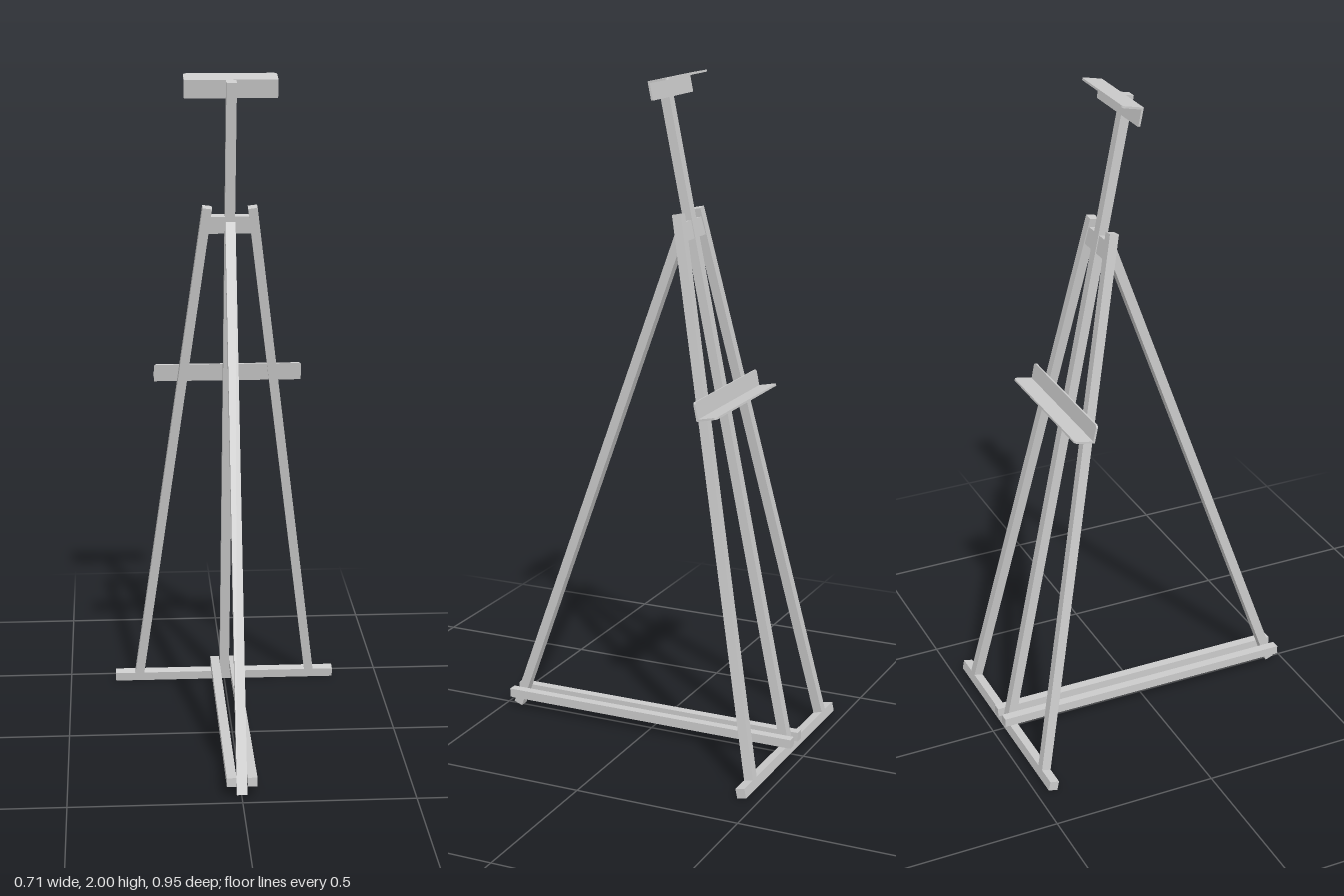
import * as THREE from 'three';

const material = new THREE.MeshStandardMaterial({ color: 0xcccccc });

function add(parent, name, geometry, x = 0, y = 0, z = 0) {
  const mesh = new THREE.Mesh(geometry, material);
  mesh.name = name;
  mesh.position.set(x, y, z);
  parent.add(mesh);
  return mesh;
}

// Square batten running between two points
function batten(parent, name, from, to, width, depth) {
  const a = new THREE.Vector3(...from);
  const b = new THREE.Vector3(...to);
  const dir = b.clone().sub(a);
  const mid = a.clone().add(b).multiplyScalar(0.5);
  const mesh = add(parent, name, new THREE.BoxGeometry(width, dir.length(), depth), mid.x, mid.y, mid.z);
  mesh.quaternion.setFromUnitVectors(new THREE.Vector3(0, 1, 0), dir.normalize());
  return mesh;
}

// Thin plate with its two outer corners rounded; base edge lies on y = 0
function plate(width, height, thickness, r = 0.01) {
  const w = width / 2;
  const s = new THREE.Shape();
  s.moveTo(-w, 0);
  s.lineTo(w, 0);
  s.lineTo(w, height - r);
  s.absarc(w - r, height - r, r, 0, Math.PI / 2);
  s.lineTo(-w + r, height);
  s.absarc(-w + r, height - r, r, Math.PI / 2, Math.PI);
  s.closePath();
  return new THREE.ExtrudeGeometry(s, { depth: thickness, bevelEnabled: false, curveSegments: 5 });
}

// Angle bracket: a flange lying on the mast and a ledge sticking out behind
function bracket(parent, name, width, y, flangeUp) {
  const t = 0.006;
  const group = new THREE.Group();
  group.name = name;
  group.position.set(0, y, -0.014);
  const flange = add(group, name + 'Flange', plate(width, 0.055, t, flangeUp ? 0.008 : 0.003));
  if (flangeUp) flange.position.z = -t;
  else flange.rotation.x = Math.PI;
  const ledge = add(group, name + 'Ledge', plate(width, 0.064, t));
  ledge.rotation.x = -Math.PI / 2;
  if (!flangeUp) ledge.position.y = -t;
  parent.add(group);
}

export function createModel() {
  const model = new THREE.Group();
  model.name = 'easel';

  // Leaning frame: local y runs up the mast
  const frame = new THREE.Group();
  frame.name = 'leaningFrame';
  frame.position.z = -0.451;
  frame.rotation.x = 0.205;
  model.add(frame);

  batten(frame, 'mast', [0, 0.003, 0], [0, 2.027, 0], 0.03, 0.028);
  add(frame, 'footBar', new THREE.BoxGeometry(0.708, 0.029, 0.028), 0, 0.0175, 0);
  add(frame, 'headSpacer', new THREE.BoxGeometry(0.14, 0.053, 0.022), 0, 1.593, 0);
  for (const side of [-1, 1]) {
    batten(frame, 'sideLeg', [side * 0.277, 0.025, 0], [side * 0.067, 1.646, 0], 0.028, 0.028);
  }

  // Canvas ledge and top clamp
  bracket(frame, 'canvasLedge', 0.45, 1.075, true);
  bracket(frame, 'topClamp', 0.272, 2.028, false);

  // Rear prop and the twin rails tying it to the foot
  batten(model, 'rearLeg', [0, 0.006, 0.459], [0, 1.567, -0.104], 0.03, 0.028);
  for (const side of [-1, 1]) {
    add(model, 'baseRail', new THREE.BoxGeometry(0.028, 0.027, 0.946), side * 0.03, 0.05, -0.002);
  }

  return model;
}
